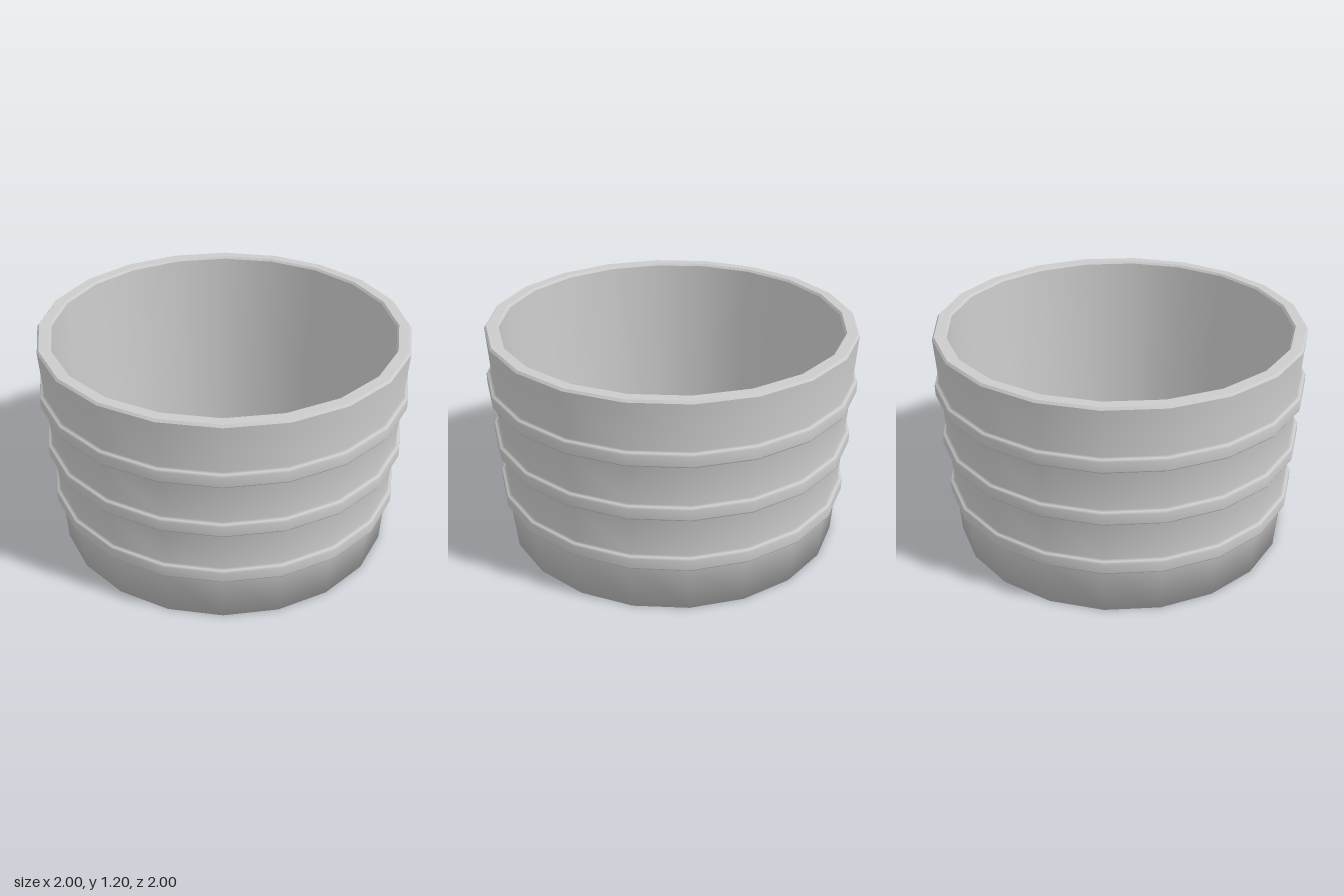
import * as THREE from 'three';

const SIDES = 20;
const material = new THREE.MeshStandardMaterial({ color: 0xcccccc });

// Revolve a profile of [radius, height] points into a named 20-sided part
function turned(name, profile) {
  const points = profile.map(([r, y]) => new THREE.Vector2(r, y));
  const mesh = new THREE.Mesh(new THREE.LatheGeometry(points, SIDES), material);
  mesh.name = name;
  return mesh;
}

// Radius of the gently flaring outer wall at a height
const wallRadius = (y) => 0.925 + 0.054 * y;

export function createModel() {
  const group = new THREE.Group();
  group.name = 'tub';

  // Outer wall with three raised hoops, softly shaded into the base
  const outer = [[0, 0], [wallRadius(0), 0]];
  for (const y of [0.26, 0.562, 0.864]) {
    const r = wallRadius(y + 0.07) + 0.025;
    outer.push(
      [wallRadius(y), y],
      [r - 0.004, y],
      [r, y + 0.008],
      [r, y + 0.06],
      [r - 0.006, y + 0.073],
      [wallRadius(y + 0.075), y + 0.075]
    );
  }
  outer.push([0.99, 1.188]);
  group.add(turned('outerWall', outer));

  // Rim: small chamfers either side of a flat top
  group.add(turned('rimOuterChamfer', [[0.99, 1.188], [0.98, 1.2]]));
  group.add(turned('rimTop', [[0.98, 1.2], [0.925, 1.2]]));
  group.add(turned('rimInnerChamfer', [[0.925, 1.2], [0.915, 1.188]]));

  // Hollow inside
  group.add(turned('innerWall', [[0.915, 1.188], [0.868, 0.07]]));
  group.add(turned('floorChamfer', [[0.868, 0.07], [0.856, 0.06]]));
  group.add(turned('floor', [[0.856, 0.06], [0, 0.06]]));

  return group;
}
